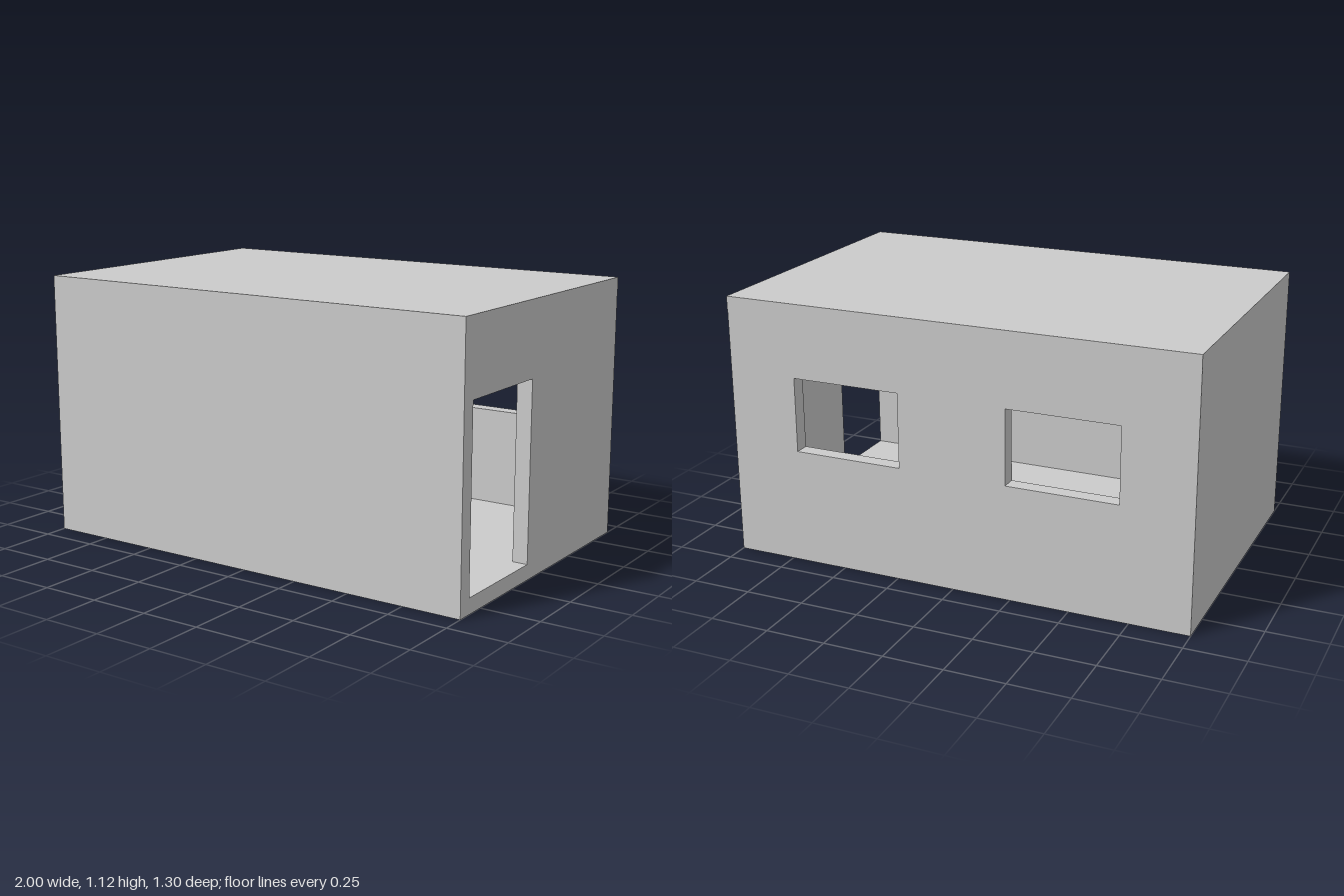
import * as THREE from 'three';

const T = 0.065;          // wall and floor thickness
const X = 1, Z = 0.65;    // outer half width and half depth
const EAVE = 1.065, TOP = 1.12;
const DROP = 0.013;       // each lintel slopes down towards the inside

const material = new THREE.MeshStandardMaterial({ color: 0xcccccc, flatShading: true });

// Collects flat four-cornered faces, corners counter-clockwise from the front
function quadGeometry(quads) {
  const positions = quads.flatMap(([a, b, c, d]) => [a, b, c, a, c, d].flat());
  const geometry = new THREE.BufferGeometry();
  geometry.setAttribute('position', new THREE.Float32BufferAttribute(positions, 3));
  geometry.computeVertexNormals();
  return geometry;
}

// One skin of a wall at depth z: grid cells between the openings
function skin(half, y0, y1, z, holes, inward) {
  const sorted = (values) => [...new Set(values)].sort((a, b) => a - b);
  const xs = sorted([-half, half, ...holes.flatMap((h) => [h.x0, h.x1])]);
  const ys = sorted([y0, y1, ...holes.flatMap((h) => [h.y0, h.y1])]);
  const quads = [];
  for (let i = 0; i < xs.length - 1; i++) {
    for (let j = 0; j < ys.length - 1; j++) {
      const cx = (xs[i] + xs[i + 1]) / 2, cy = (ys[j] + ys[j + 1]) / 2;
      if (holes.some((h) => cx > h.x0 && cx < h.x1 && cy > h.y0 && cy < h.y1)) continue;
      const q = [[xs[i], ys[j], z], [xs[i + 1], ys[j], z],
        [xs[i + 1], ys[j + 1], z], [xs[i], ys[j + 1], z]];
      quads.push(inward ? q.reverse() : q);
    }
  }
  return quads;
}

// Wall facing local +z, with outer skin, inner skin and the reveals of its openings
function wall(name, half, depth, angle, holes = []) {
  const innerHoles = holes.map((h) => ({ ...h, y1: h.y1 - DROP }));
  const quads = [
    ...skin(half, 0, EAVE, depth, holes, false),
    ...skin(half - T, T, EAVE, depth - T, innerHoles, true),
  ];
  const ring = (h, z) => [[h.x0, h.y0, z], [h.x1, h.y0, z], [h.x1, h.y1, z], [h.x0, h.y1, z]];
  holes.forEach((h, n) => {
    const outer = ring(h, depth), inner = ring(innerHoles[n], depth - T);
    for (let i = 0; i < 4; i++) {
      const k = (i + 1) % 4;
      quads.push([outer[i], outer[k], inner[k], inner[i]]);
    }
  });
  const mesh = new THREE.Mesh(quadGeometry(quads), material);
  mesh.name = name;
  mesh.rotation.y = angle;
  return mesh;
}

export function createModel() {
  const model = new THREE.Group();
  model.name = 'smallHouse';

  // Walls: doorway on the +x side, two windows at the back
  const door = { x0: -0.585, x1: -0.12, y0: T, y1: 0.81 };
  const windows = [-0.467, 0.467].map((x) => ({ x0: x - 0.235, x1: x + 0.235, y0: 0.49, y1: 0.807 }));
  model.add(
    wall('frontWall', X, Z, 0),
    wall('backWall', X, Z, Math.PI, windows),
    wall('leftWallWithDoorway', Z, X, Math.PI / 2, [door]),
    wall('rightWall', Z, X, -Math.PI / 2),
  );

  // Floor: upper surface inside the walls and underside of the house
  const slab = (x, z, y) => [[-x, y, z], [x, y, z], [x, y, -z], [-x, y, -z]];
  const floor = new THREE.Mesh(
    quadGeometry([slab(X - T, Z - T, T), slab(X, Z, 0).reverse()]), material);
  floor.name = 'floor';
  model.add(floor);

  // Flat roof slab, a hair proud of the back wall
  const roof = new THREE.Mesh(new THREE.BoxGeometry(2 * X, TOP - EAVE, 2 * Z + 0.002), material);
  roof.position.set(0, (TOP + EAVE) / 2, -0.001);
  roof.name = 'roof';
  model.add(roof);

  return model;
}
